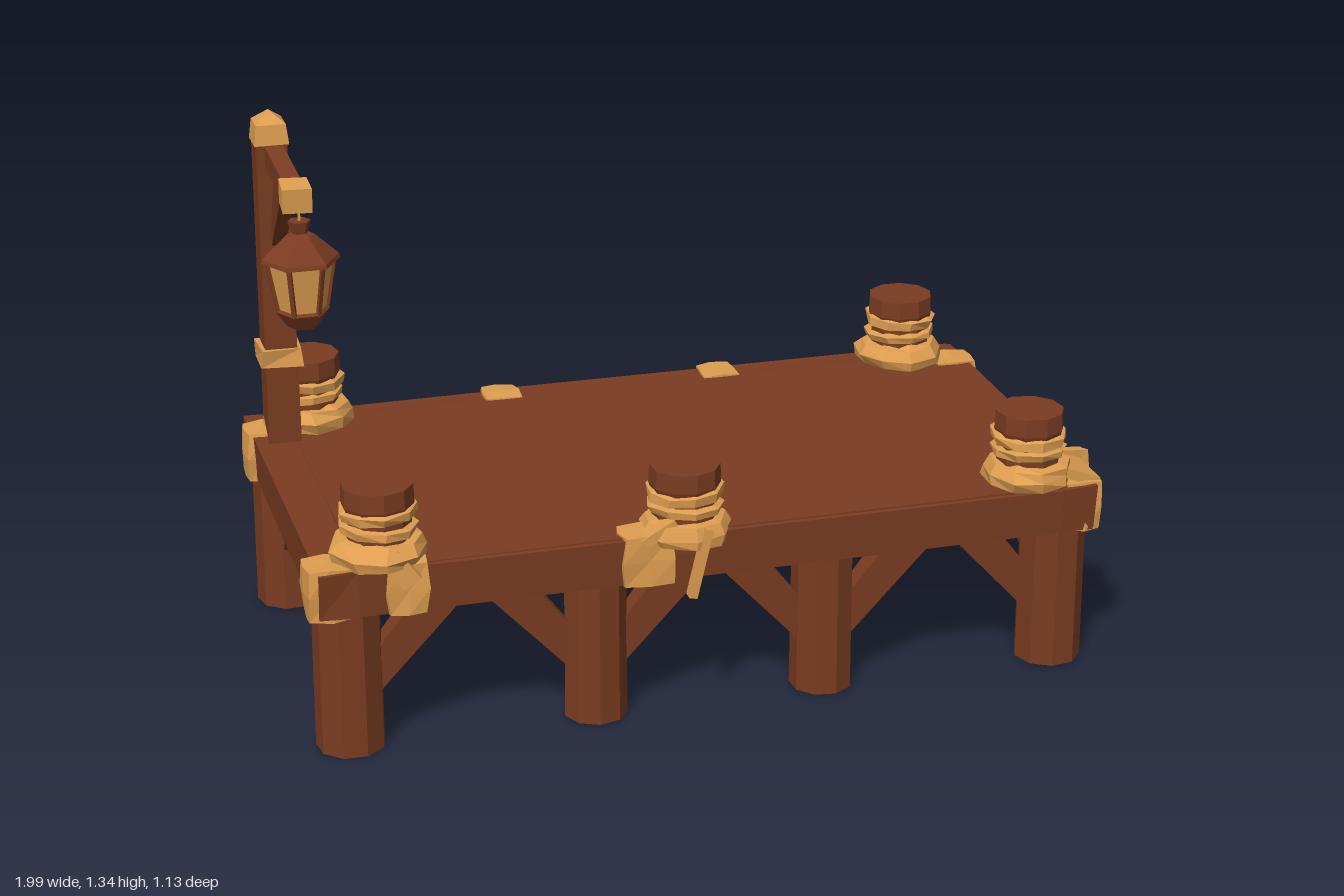
import * as THREE from 'three';

export function createModel() {
  const root = new THREE.Group();
  root.name = 'dock';
  const mat = (name, color) => {
    const m = new THREE.MeshStandardMaterial({ color, flatShading: true });
    m.name = name;
    return m;
  };
  const wood = mat('brown wood', 0x7b3c21);
  const rope = mat('golden rope', 0xde9e50);

  const add = (name, geo, m, x = 0, y = 0, z = 0, parent = root) => {
    const mesh = new THREE.Mesh(geo, m);
    mesh.name = name;
    mesh.position.set(x, y, z);
    parent.add(mesh);
    return mesh;
  };
  // Hand-cut look: nudge vertices by a rule, so shared corners stay joined
  const rough = (geo, amount, seed = 0) => {
    const p = geo.attributes.position;
    for (let i = 0; i < p.count; i++) {
      const x = p.getX(i), y = p.getY(i), z = p.getZ(i);
      const k = Math.round(x * 500) * 1.7 + Math.round(y * 500) * 2.3 + Math.round(z * 500) * 3.1 + seed;
      p.setXYZ(i, x + amount * Math.sin(k), y + amount * 0.5 * Math.sin(k * 1.9), z + amount * Math.cos(k * 1.3));
    }
    geo.computeVertexNormals();
    return geo;
  };
  const box = (name, m, w, h, d, x, y, z, r = 0, parent = root) =>
    add(name, rough(new THREE.BoxGeometry(w, h, d), r, x * 9 + z * 5), m, x, y, z, parent);
  // Square bar between two points, aimed before it joins its parent; taper narrows the far end
  const bar = (name, m, a, b, w, d = w, parent = root, taper = 1) => {
    const A = new THREE.Vector3(...a), B = new THREE.Vector3(...b);
    const geo = new THREE.BoxGeometry(w, d, A.distanceTo(B));
    const p = geo.attributes.position;
    for (let i = 0; i < p.count; i++) {
      if (p.getZ(i) < 0) p.setXY(i, p.getX(i) * taper, p.getY(i) * taper);
    }
    geo.computeVertexNormals();
    const mesh = new THREE.Mesh(geo, m);
    mesh.name = name;
    mesh.position.copy(A).add(B).multiplyScalar(0.5);
    mesh.lookAt(B);
    parent.add(mesh);
  };

  // Deck: solid top with uneven planks below
  box('deckTop', wood, 1.81, 0.022, 0.945, 0.035, 0.4675, 0.0275);
  for (let i = 0; i < 9; i++) {
    const h = 0.028 + 0.012 * (i % 2);
    box('plank', wood, 0.19, h, 0.94, -0.83 + i * 0.205, 0.457 - h / 2, 0);
  }

  // Frame beams
  box('frontBeam', wood, 1.9, 0.115, 0.08, -0.01, 0.417, 0.47, 0.004);
  box('backBeam', wood, 0.72, 0.115, 0.08, -0.61, 0.418, -0.475, 0.004);
  box('backBeam', wood, 1.2, 0.115, 0.08, 0.345, 0.42, -0.475, 0.004);
  box('leftBeam', wood, 0.09, 0.115, 1.02, 0.905, 0.42, 0, 0.005);
  box('rightBeam', wood, 0.1, 0.115, 1.03, -0.92, 0.42, 0, 0.005);

  // Legs with diagonal braces along the beams and under the deck
  const legX = [-0.89, -0.295, 0.275, 0.87];
  for (const s of [1, -1]) {
    const z = s * 0.425;
    legX.forEach((x, i) => {
      const r = i % 3 ? 0.077 : 0.083;
      const leg = new THREE.CylinderGeometry(r * 0.98, r, 0.43, 9, 1).translate(0, 0.215, 0);
      add('leg', leg, wood, x, 0, z).rotation.y = i + s;
      for (const d of [-1, 1]) {
        if ((i === 0 && d < 0) || (i === 3 && d > 0)) continue;
        bar('brace', wood, [x + d * 0.035, 0.15, z], [x + d * 0.25, 0.405, z], 0.065, 0.1, root, 0.7);
      }
      bar('crossBrace', wood, [x, 0.17, z - s * 0.04], [x, 0.405, z - s * 0.23], 0.06, 0.09, root, 0.7);
    });
  }

  // Mooring posts bound with rope
  const profile = pts => pts.map(([r, y]) => new THREE.Vector2(r, y));
  const posts = [[-0.81, 0.435, 0.66], [-0.08, 0.45, 0.63], [0.8, 0.42, 0.66], [-0.82, -0.44, 0.66], [0.785, -0.45, 0.66]];
  posts.forEach(([x, z, top], i) => {
    const g = new THREE.Group();
    g.name = 'mooringPost';
    g.position.set(x, top - 0.66, z);
    g.rotation.y = i * 0.7;
    root.add(g);
    const core = [[0.08, 0.46], [0.078, 0.59], [0.086, 0.615], [0.084, 0.66], [0, 0.66]];
    add('post', new THREE.LatheGeometry(profile(core), 10), wood, 0, 0, 0, g);
    const low = [[0.07, 0.475], [0.112, 0.48], [0.116, 0.505], [0.098, 0.53], [0.07, 0.537]];
    add('lowerRope', rough(new THREE.LatheGeometry(profile(low), 9), 0.007, i), rope, 0, 0, 0, g);
    for (const [y, h, tilt] of [[0.597, 1, 0.05], [0.558, 0.8, -0.06]]) {
      const wrap = [[0.07, -0.018], [0.09, -0.014], [0.094, 0.008], [0.07, 0.018]];
      const geo = new THREE.LatheGeometry(profile(wrap), 9).scale(1, h, 1);
      add('upperRope', rough(geo, 0.003, i), rope, 0, y, 0, g).rotation.z = tilt;
    }
  });

  // Rope bands around the beams, with corners drawn in
  for (const [x, z, w, d] of [
    [-0.935, 0.46, 0.115, 0.1], [-0.935, -0.41, 0.115, 0.1],
    [0.92, 0.43, 0.095, 0.15], [0.918, -0.405, 0.115, 0.1],
    [-0.76, 0.477, 0.1, 0.09], [-0.185, 0.477, 0.13, 0.09],
    [-0.305, -0.487, 0.1, 0.1], [0.285, -0.487, 0.1, 0.1],
  ]) {
    const geo = new THREE.BoxGeometry(w, 0.128, d, 2, 2, 2);
    const p = geo.attributes.position;
    for (let i = 0; i < p.count; i++) {
      if (p.getX(i) && p.getY(i) && p.getZ(i)) p.setXYZ(i, p.getX(i) * 0.9, p.getY(i) * 0.96, p.getZ(i) * 0.9);
    }
    add('ropeBand', rough(geo, 0.003, x * 9 + z), rope, x, 0.42, z);
  }

  // Rope drapes and loose tails
  bar('ropeDrape', rope, [0.86, 0.515, 0.42], [0.96, 0.475, 0.42], 0.14, 0.025);
  bar('ropeDrape', rope, [-0.12, 0.51, 0.5], [-0.2, 0.465, 0.5], 0.05, 0.025);
  bar('ropeDrape', rope, [-0.8, 0.51, 0.51], [-0.75, 0.44, 0.52], 0.03, 0.05);
  bar('ropeTail', rope, [0.86, 0.51, 0.36], [0.98, 0.49, 0.34], 0.025);
  bar('ropeTail', rope, [0.98, 0.5, 0.34], [0.985, 0.38, 0.36], 0.02);
  bar('ropeTail', rope, [-0.05, 0.5, 0.545], [-0.09, 0.33, 0.545], 0.028, 0.02);
  bar('ropeTail', rope, [0.79, 0.51, -0.54], [0.77, 0.42, -0.54], 0.03, 0.02);
  bar('ropeTail', rope, [-0.83, 0.5, -0.54], [-0.84, 0.33, -0.55], 0.03, 0.02);

  // Lamp post with a slanted foot
  const lamp = new THREE.Group();
  lamp.name = 'lampPost';
  root.add(lamp);
  const pole = new THREE.BoxGeometry(0.082, 0.76, 0.082);
  const pp = pole.attributes.position;
  for (let i = 0; i < pp.count; i++) {
    if (pp.getY(i) > 0) pp.setXYZ(i, pp.getX(i) * 0.93, pp.getY(i), pp.getZ(i) * 0.93);
    else pp.setY(i, pp.getZ(i) > 0 ? -0.4 : -0.35);
  }
  pole.computeVertexNormals();
  add('pole', pole, wood, -0.904, 0.885, -0.329, lamp);
  box('poleRope', rope, 0.1, 0.048, 0.1, -0.904, 0.712, -0.329, 0.004, lamp);
  const cap = new THREE.LatheGeometry(profile([[0, 0], [0.06, 0], [0.052, 0.05], [0, 0.08]]), 4).rotateY(Math.PI / 4);
  add('poleCap', cap, rope, -0.904, 1.26, -0.329, lamp);
  bar('arm', wood, [-0.9, 1.235, -0.31], [-0.89, 1.203, -0.08], 0.045, 0.05, lamp);
  const end = box('armCap', rope, 0.068, 0.06, 0.068, -0.89, 1.2, -0.066, 0.003, lamp);
  end.rotation.x = 0.12;
  // Triangular arm bracket, narrow at the pole
  const tri = new THREE.Shape();
  tri.moveTo(-0.29, 1.005);
  tri.lineTo(-0.12, 1.18);
  tri.lineTo(-0.21, 1.215);
  tri.lineTo(-0.295, 1.04);
  const bracket = new THREE.ExtrudeGeometry(tri, { depth: 0.035, bevelEnabled: false });
  add('armBracket', bracket.rotateY(-Math.PI / 2), wood, -0.88, 0, 0, lamp);

  // Hanging six-sided lantern
  const lantern = new THREE.Group();
  lantern.name = 'lantern';
  lantern.position.set(-0.88, 0, -0.075);
  lamp.add(lantern);
  const hex = (name, m, pts) => add(name, new THREE.LatheGeometry(profile(pts), 6, Math.PI / 2), m, 0, 0, 0, lantern);
  bar('hanger', rope, [0, 1.12, 0], [0, 1.18, 0], 0.006, 0.006, lantern);
  hex('lanternRoof', wood, [[0, 1.03], [0.096, 1.035], [0.093, 1.045], [0.034, 1.1], [0.02, 1.105], [0.028, 1.135], [0, 1.135]]);
  hex('lanternGlass', rope, [[0.058, 0.91], [0.08, 1.035]]);
  hex('lanternBase', wood, [[0, 0.866], [0.038, 0.87], [0.066, 0.91], [0.06, 0.917], [0, 0.917]]);
  for (let i = 0; i < 6; i++) {
    const a = i * Math.PI / 3, c = Math.cos(a), s = Math.sin(a);
    bar('lanternRib', wood, [c * 0.057, 0.91, s * 0.057], [c * 0.079, 1.035, s * 0.079], 0.011, 0.011, lantern);
  }
  return root;
}
